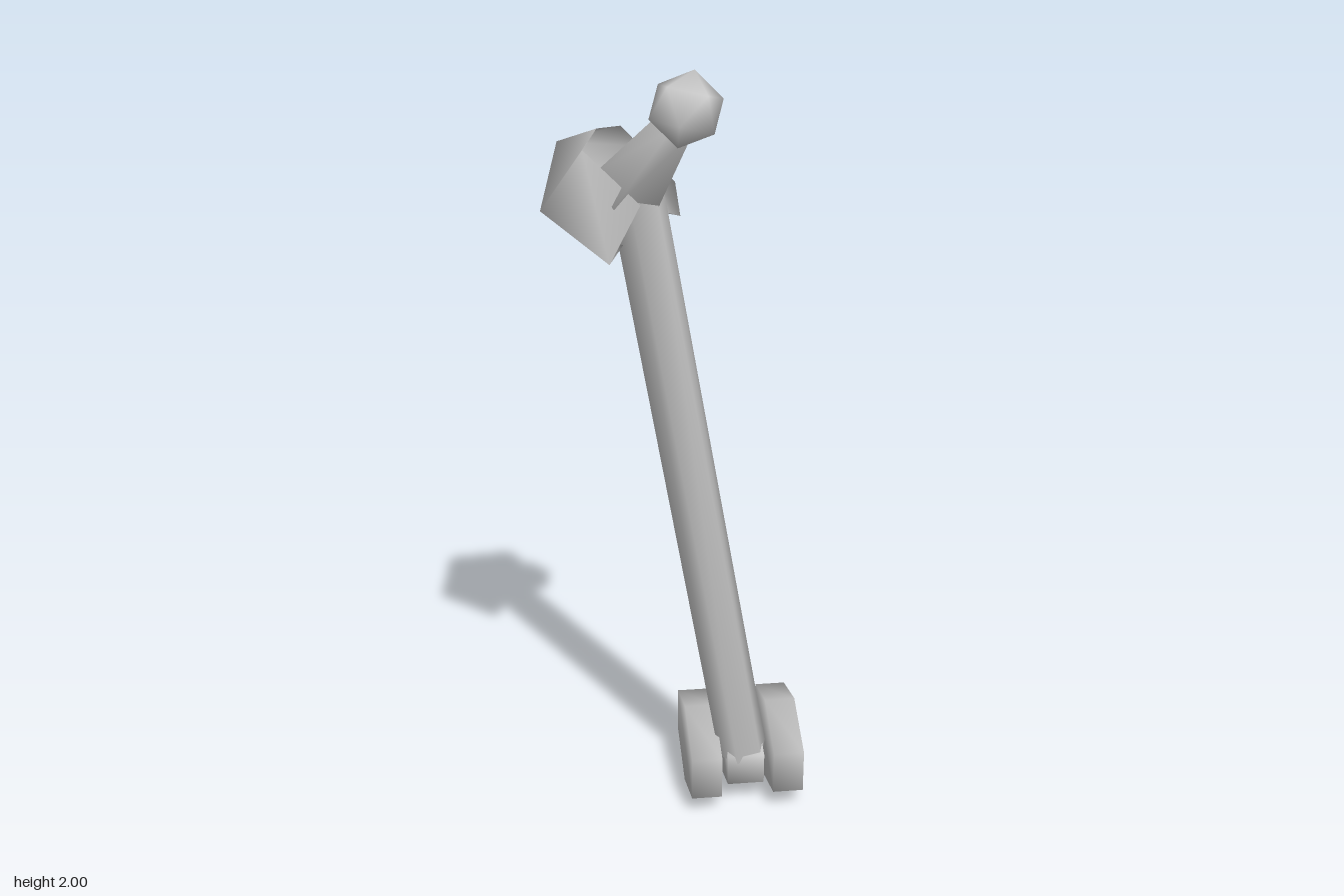
import * as THREE from 'three';
import { mergeVertices } from 'three/addons/utils/BufferGeometryUtils.js';

const material = new THREE.MeshStandardMaterial({ color: 0xcccccc });
const openMaterial = new THREE.MeshStandardMaterial({ color: 0xcccccc, side: THREE.DoubleSide });

// Weld all corners so the coarse shapes are shaded softly
function soften(geometry) {
  geometry.deleteAttribute('uv');
  geometry.deleteAttribute('normal');
  const welded = mergeVertices(geometry, 1e-4);
  welded.computeVertexNormals();
  return welded;
}

function addMesh(parent, name, geometry, mat = material) {
  const mesh = new THREE.Mesh(geometry, mat);
  mesh.name = name;
  parent.add(mesh);
  return mesh;
}

// Tapered prism between two points
function addRod(parent, name, from, to, r0, r1, sides) {
  const a = new THREE.Vector3(...from), b = new THREE.Vector3(...to);
  const geometry = soften(new THREE.CylinderGeometry(r1, r0, a.distanceTo(b), sides));
  const mesh = addMesh(parent, name, geometry);
  mesh.position.copy(a).add(b).multiplyScalar(0.5);
  mesh.quaternion.setFromUnitVectors(new THREE.Vector3(0, 1, 0), b.sub(a).normalize());
  return mesh;
}

// Six-sided wheel lying along x, flat on top and bottom
function addWheel(parent, name, x, y, z, width, halfDepth, halfHeight) {
  const geometry = new THREE.CylinderGeometry(1, 1, width, 6);
  geometry.rotateZ(Math.PI / 2);
  geometry.rotateX(Math.PI / 2);
  geometry.computeBoundingBox();
  const box = geometry.boundingBox;
  geometry.scale(1, halfHeight / box.max.y, halfDepth / box.max.z);
  const mesh = addMesh(parent, name, soften(geometry));
  mesh.position.set(x, y, z);
  mesh.rotation.set(0.03, 0.025, 0);
}

// Open shell from rows of points, each row mirrored across x = 0
function shellGeometry(halfRows) {
  const rows = halfRows.map(row => [
    ...row, ...row.slice(0, -1).reverse().map(([x, y, z]) => [-x, y, z]),
  ]);
  const columns = rows[0].length;
  const index = [];
  for (let r = 0; r < rows.length - 1; r++) {
    for (let c = 0; c < columns - 1; c++) {
      const a = r * columns + c, b = a + columns;
      index.push(a, a + 1, b, a + 1, b + 1, b);
    }
  }
  const geometry = new THREE.BufferGeometry();
  geometry.setAttribute('position', new THREE.Float32BufferAttribute(rows.flat(2), 3));
  geometry.setIndex(index);
  geometry.computeVertexNormals();
  return geometry;
}

export function createModel() {
  const group = new THREE.Group();

  // Wheels and hub at the foot
  addWheel(group, 'rightWheel', 0.051, 0.12, -0.172, 0.076, 0.162, 0.114);
  addWheel(group, 'leftWheel', 0.258, 0.125, -0.176, 0.076, 0.162, 0.114);
  addWheel(group, 'hub', 0.155, 0.115, -0.174, 0.092, 0.125, 0.082);

  // Leaning frame: y along the pole, z towards the knob
  const up = new THREE.Vector3(-0.17, 0.973, 0.157).normalize();
  const front = new THREE.Vector3(0.678, 0, 0.735).normalize();
  const side = new THREE.Vector3().crossVectors(up, front).normalize();
  const leaning = new THREE.Group();
  leaning.name = 'leaningAssembly';
  leaning.quaternion.setFromRotationMatrix(
    new THREE.Matrix4().makeBasis(side, up, new THREE.Vector3().crossVectors(side, up)));
  leaning.position.set(-0.118, 1.7, 0.145);
  group.add(leaning);

  // Pole
  addRod(leaning, 'pole', [0, -1.6, 0], [0, 0.04, 0], 0.063, 0.06, 6);

  // Neck and knob
  addRod(leaning, 'neck', [0, 0.02, -0.02], [0.04, 0.2, 0.13], 0.082, 0.04, 5);
  const knob = addMesh(leaning, 'knob', soften(new THREE.IcosahedronGeometry(0.081, 0)));
  knob.position.set(0.045, 0.222, 0.145);

  // Hood wrapped around the back of the pole top: upper, middle and lower rim
  addMesh(leaning, 'hood', shellGeometry([
    [[-0.055, 0.03, 0.065], [-0.06, 0.13, -0.075], [0, 0.15, -0.085]],
    [[-0.115, -0.1, 0], [-0.158, 0.02, -0.135], [0, 0.09, -0.22]],
    [[-0.075, -0.07, 0.01], [-0.085, -0.085, -0.06], [0, -0.085, -0.08]],
  ]), openMaterial);

  return group;
}
